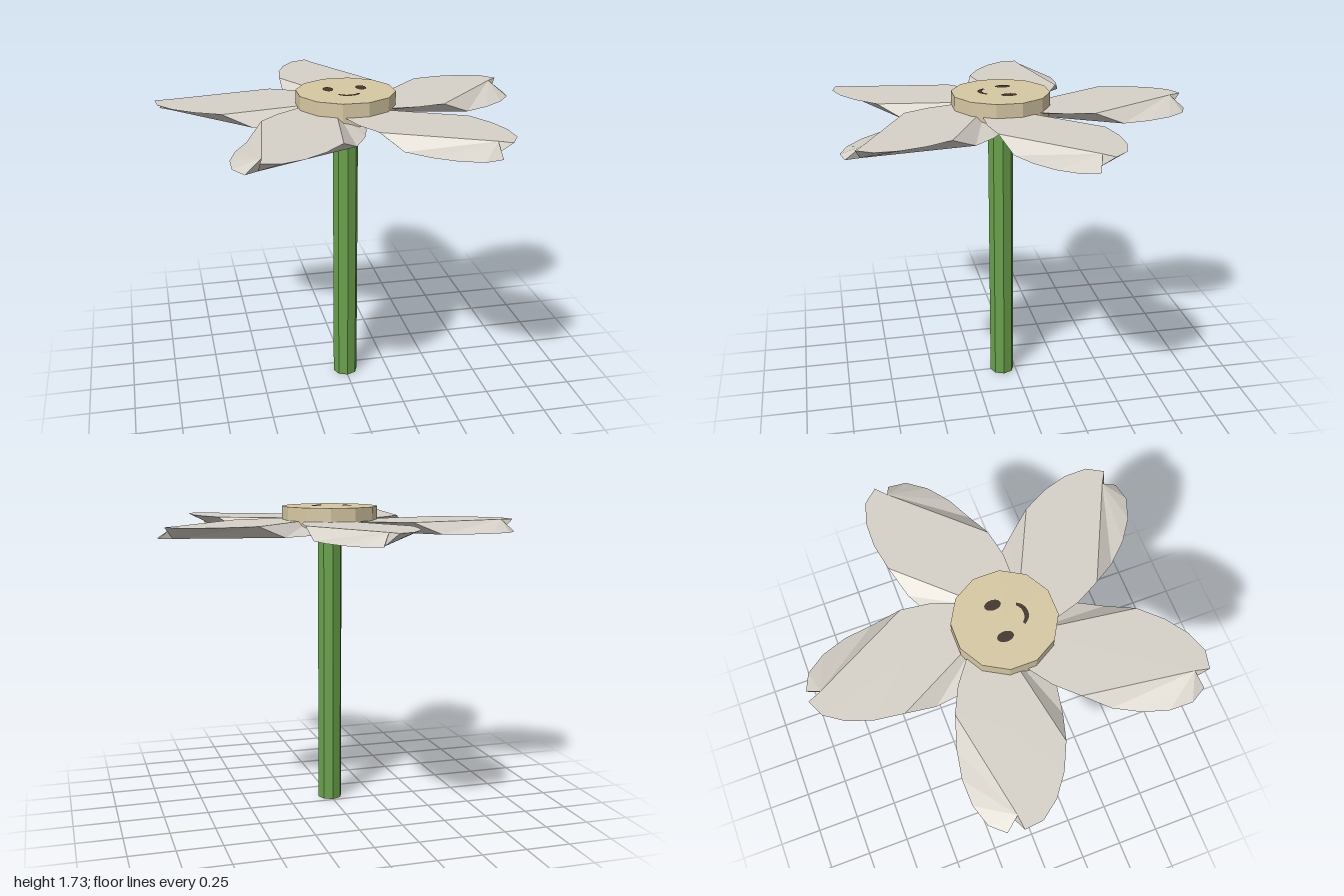
import * as THREE from 'three';

const CZ = 0.08; // flower axis in z

const mat = (name, color, extra = {}) => {
  const m = new THREE.MeshStandardMaterial({ color, flatShading: true, ...extra });
  m.name = name;
  return m;
};

// Twisted petal: the lower outline is the mirror image of the upper one.
// Points are [sideways, outward], counter-clockwise seen from above.
function petalGeometry(yTop, yBottom) {
  const outline = [
    [-0.01, 0.97], [-0.04, 1.04], [-0.13, 1.0], [-0.2, 0.9], [-0.245, 0.77], [-0.265, 0.62],
    [0.01, 0.11], [0.04, 0.04], [0.13, 0.08], [0.2, 0.18], [0.245, 0.31], [0.265, 0.46],
  ];
  const n = outline.length;
  const top = outline.map(([v, u]) => [v, yTop, -u]);
  const bottom = outline.map((_, i) => {
    const [v, u] = outline[(n - i) % n];
    return [-v, yBottom, -u];
  });
  const pos = [];
  const tri = (a, b, c) => pos.push(...a, ...b, ...c);

  // flat caps
  for (let i = 0; i < n; i++) {
    const j = (i + 1) % n;
    tri([0, yTop, -0.54], top[i], top[j]);
    tri([0, yBottom, -0.54], bottom[j], bottom[i]);
  }
  // slanted rim: step along the top (T) or the bottom (B) outline
  let t = 1, b = 0;
  for (const step of 'TTTTBTBBBBBTTTTTBTBBBBBT') {
    if (step === 'T') {
      const next = (t + 1) % n;
      tri(top[t], bottom[b], top[next]);
      t = next;
    } else {
      const next = (b + 1) % n;
      tri(top[t], bottom[b], bottom[next]);
      b = next;
    }
  }
  const g = new THREE.BufferGeometry();
  g.setAttribute('position', new THREE.Float32BufferAttribute(pos, 3));
  g.computeVertexNormals();
  return g;
}

export function createModel() {
  const petalMat = mat('petal white', 0xd6d1c8);
  const discMat = mat('centre cream', 0xd6c8a3);
  const stemMat = mat('stem green', 0x69a34b);
  const cutMat = mat('stem cut brown', 0xa67a2a);
  const faceMat = mat('face dark brown', 0x43362e, { side: THREE.DoubleSide });

  const model = new THREE.Group();
  model.name = 'flower';
  const add = (name, geometry, material, x, y, z) => {
    const m = new THREE.Mesh(geometry, material);
    m.name = name;
    m.position.set(x, y, z);
    model.add(m);
    return m;
  };

  // stem with a brown cut end
  const stemTop = 1.62;
  add('stem', new THREE.CylinderGeometry(0.07, 0.07, stemTop, 8),
    [stemMat, stemMat, cutMat], 0, stemTop / 2, CZ);

  // five petals around the axis
  const petal = petalGeometry(1.65, 1.585);
  for (let i = 0; i < 5; i++) {
    add('petal', petal, petalMat, 0, 0, CZ).rotation.y = (i * Math.PI * 2) / 5;
  }

  // twelve-sided centre
  add('flowerCentre', new THREE.CylinderGeometry(0.269, 0.269, 0.125, 12, 1, false, Math.PI / 12),
    discMat, 0, 1.6625, CZ);

  // face laid flat on the centre
  const faceY = 1.728;
  const eye = new THREE.CircleGeometry(1, 20).rotateX(-Math.PI / 2).scale(0.028, 1, 0.043);
  for (const s of [-1, 1]) add(s > 0 ? 'leftEye' : 'rightEye', eye, faceMat, s * 0.09, faceY, 0.05);

  const smile = new THREE.Shape();
  smile.moveTo(-0.062, -0.165);
  smile.quadraticCurveTo(-0.04, -0.204, 0, -0.204);
  smile.quadraticCurveTo(0.04, -0.204, 0.062, -0.165);
  smile.lineTo(0.048, -0.158);
  smile.quadraticCurveTo(0.03, -0.18, 0, -0.18);
  smile.quadraticCurveTo(-0.03, -0.18, -0.048, -0.158);
  smile.closePath();
  add('smile', new THREE.ShapeGeometry(smile, 6).rotateX(-Math.PI / 2), faceMat, 0, faceY, 0);

  return model;
}
